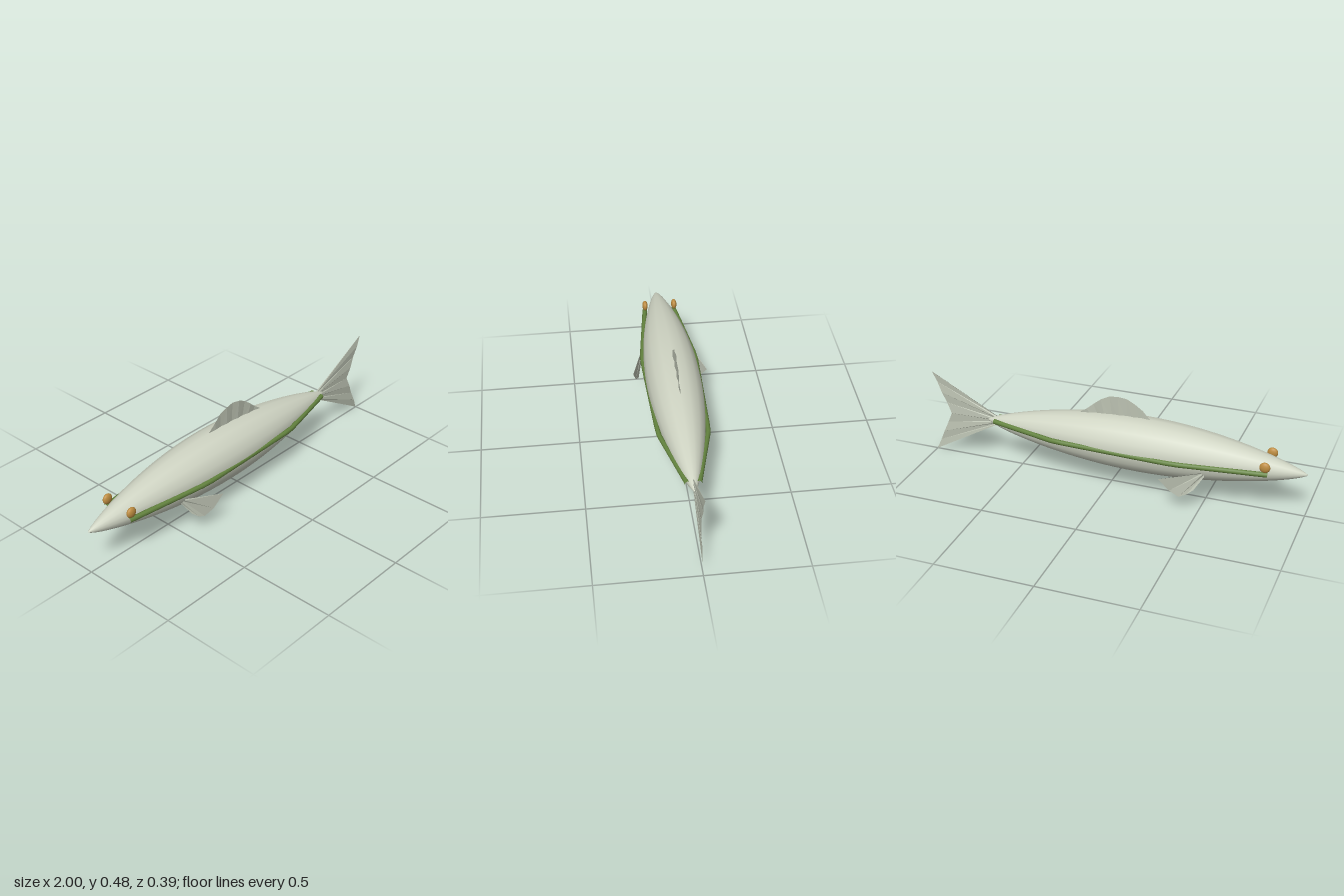
import * as THREE from 'three';

const mat = (name, color, extra = {}) => {
  const m = new THREE.MeshStandardMaterial({ color, ...extra });
  m.name = name;
  return m;
};

// Thin pleated fin: a strip between matching root and tip points
function finGeometry(roots, tips) {
  const pos = [], index = [];
  tips.forEach((tip, i) => {
    const pleat = i % 2 ? 0.002 : -0.002;
    const root = roots[i];
    pos.push(root[0], root[1], (root[2] || 0) + pleat);
    pos.push(tip[0], tip[1], (tip[2] || 0) + pleat);
    if (i > 0) {
      const a = 2 * i - 2;
      index.push(a, a + 1, a + 3, a, a + 3, a + 2);
    }
  });
  const g = new THREE.BufferGeometry();
  g.setAttribute('position', new THREE.Float32BufferAttribute(pos, 3));
  g.setIndex(index);
  g.computeVertexNormals();
  return g;
}

export function createModel() {
  const group = new THREE.Group();
  const skin = mat('silver skin', 0xcfd4c3);
  const finMat = mat('fin grey', 0xbcc2b2, { side: THREE.DoubleSide, flatShading: true });
  const green = mat('stripe green', 0x64843f);
  const amber = mat('eye amber', 0xbd8c40);

  const add = (name, geometry, material) => {
    const mesh = new THREE.Mesh(geometry, material);
    mesh.name = name;
    group.add(mesh);
    return mesh;
  };

  // Spindle body, sixteen sides, its axis gently arched
  const x0 = -1, length = 1.69, profile = [];
  for (let i = 0; i <= 40; i++) {
    const t = (1 - Math.cos(Math.PI * i / 40)) / 2;
    const r = 0.142 * Math.pow(Math.max(0, Math.sin(Math.PI * t)), 0.74);
    profile.push(new THREE.Vector2(i % 40 ? r : 0, x0 + length * t));
  }
  const body = new THREE.LatheGeometry(profile, 16).rotateZ(-Math.PI / 2);
  const p = body.attributes.position;
  for (let i = 0; i < p.count; i++) {
    const t = (p.getX(i) - x0) / length;
    p.setY(i, p.getY(i) + 0.23 + 0.013 * Math.sin(Math.PI * t));
  }
  add('body', body, skin);

  // Forked tail
  const tailTips = [], tailRoots = [];
  for (let i = 0; i <= 8; i++) {
    const s = i / 4 - 1;
    tailTips.push([0.9 + 0.1 * Math.abs(s), 0.228 + 0.227 * s]);
    tailRoots.push([0.63, 0.234 + 0.022 * s]);
  }
  add('tailFin', finGeometry(tailRoots, tailTips), finMat);

  // Rounded dorsal fin
  const dorsalTips = [[-0.2, 0.385], [-0.16, 0.425], [-0.12, 0.456], [-0.075, 0.476], [-0.03, 0.482],
    [0.015, 0.475], [0.06, 0.453], [0.1, 0.42], [0.135, 0.39], [0.17, 0.366]];
  const dorsalRoots = dorsalTips.map((_, i) => [-0.19 + i * 0.038, 0.355]);
  add('dorsalFin', finGeometry(dorsalRoots, dorsalTips), finMat);

  // Paired parts, mirrored across the body
  const pectoralTips = [[-0.475, 0.12, 0.145], [-0.44, 0.09, 0.152], [-0.405, 0.077, 0.16],
    [-0.36, 0.108, 0.174], [-0.31, 0.176, 0.195]];
  const pectoralRoots = pectoralTips.map((_, i) => [-0.52 + i * 0.005, 0.19 + i * 0.005, 0.115 + i * 0.003]);
  const stripePoints = [[-0.82, 0.08], [-0.36, 0.14], [0.27, 0.122], [0.64, 0.028]];
  for (const side of [1, -1]) {
    const label = side > 0 ? 'front' : 'rear';
    const flip = pts => pts.map(([x, y, z]) => [x, y, z * side]);
    add(label + 'PectoralFin', finGeometry(flip(pectoralRoots), flip(pectoralTips)), finMat);

    // Lateral stripe made of straight runs
    const path = new THREE.CurvePath();
    const pts = stripePoints.map(([x, z]) => new THREE.Vector3(x, 0.238, z * side));
    for (let i = 1; i < pts.length; i++) path.add(new THREE.LineCurve3(pts[i - 1], pts[i]));
    add(label + 'Stripe', new THREE.TubeGeometry(path, 24, 0.013, 8), green);

    // Flattened eye
    const eye = add(label + 'Eye', new THREE.SphereGeometry(0.027, 16, 12), amber);
    eye.scale.z = 0.55;
    eye.position.set(-0.805, 0.275, 0.08 * side);
  }
  return group;
}
